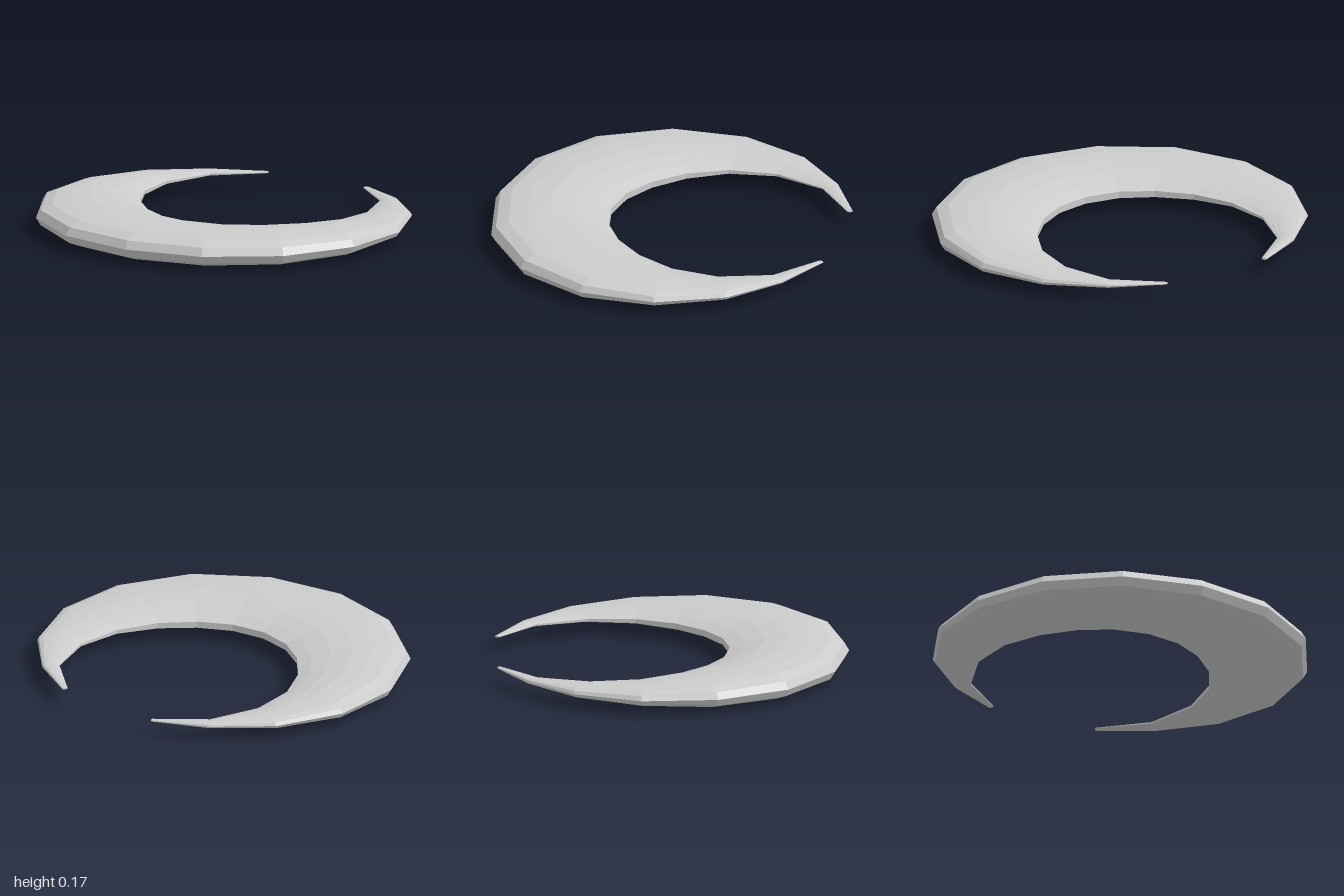
import * as THREE from 'three';

// Half of the crescent, from the middle of the front to one tip:
// outer x, outer z, inner x, inner z, half thickness
const HALF = [
  [0, 0.93, 0, 0.30, 0.085],
  [0.43, 0.845, 0.19, 0.265, 0.083],
  [0.78, 0.595, 0.355, 0.17, 0.079],
  [0.98, 0.22, 0.50, 0.02, 0.069],
  [1.0, -0.185, 0.605, -0.185, 0.048],
  [0.85, -0.54, 0.63, -0.44, 0.031],
  [0.595, -0.785, 0.535, -0.715, 0.016],
  [0.315, -0.935, 0.30, -0.91, 0.005],
];

// Upper outline of a section: position across (1 outer, -1 inner), height.
// Round on the outer rim, thinning to a narrow inner edge.
const UPPER = [
  [1, 0], [0.92, 0.52], [0.71, 0.83], [0.38, 0.97], [0, 1],
  [-0.4, 0.85], [-0.75, 0.55], [-1, 0.22],
];
const MID_Y = 0.086;

export function createModel() {
  const profile = [...UPPER, ...UPPER.slice(1).reverse().map(([u, v]) => [u, -v])];
  const mirrored = HALF.slice(1).reverse().map(([ox, oz, ix, iz, t]) => [-ox, oz, -ix, iz, t]);
  const stations = [...mirrored, ...HALF];
  const n = profile.length;
  const positions = [];
  const index = [];

  // One closed section per station
  for (const [ox, oz, ix, iz, t] of stations) {
    for (const [u, v] of profile) {
      const k = (1 - u) / 2;
      positions.push(ox + (ix - ox) * k, MID_Y + v * t, oz + (iz - oz) * k);
    }
  }

  // Skin between neighbouring sections
  for (let i = 0; i < stations.length - 1; i++) {
    for (let j = 0; j < n; j++) {
      const a = i * n + j;
      const c = i * n + (j + 1) % n;
      index.push(a, a + n, c, a + n, c + n, c);
    }
  }

  // Flat caps on the two tips
  const last = (stations.length - 1) * n;
  for (let j = 1; j < n - 1; j++) {
    index.push(0, j, j + 1, last, last + j + 1, last + j);
  }

  const indexed = new THREE.BufferGeometry();
  indexed.setAttribute('position', new THREE.Float32BufferAttribute(positions, 3));
  indexed.setIndex(index);
  const geometry = indexed.toNonIndexed();
  geometry.computeVertexNormals();

  const crescent = new THREE.Mesh(
    geometry,
    new THREE.MeshStandardMaterial({ color: 0xcccccc, flatShading: true }),
  );
  crescent.name = 'crescent';

  const group = new THREE.Group();
  group.name = 'crescentHorn';
  group.add(crescent);
  return group;
}
